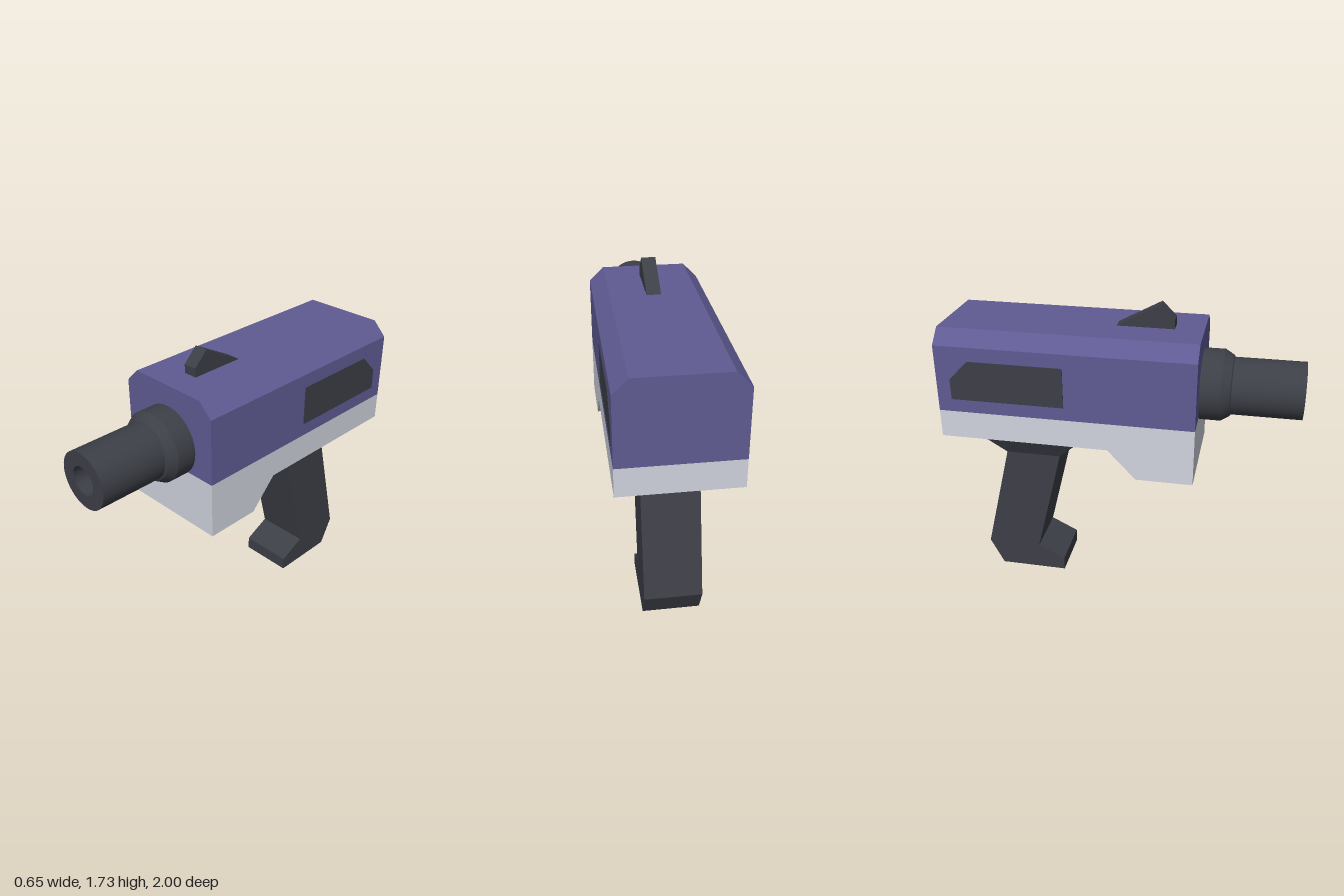
import * as THREE from 'three';
import { toCreasedNormals } from 'three/addons/utils/BufferGeometryUtils.js';

const material = (color) => new THREE.MeshStandardMaterial({ color });

export function createModel() {
  const group = new THREE.Group();
  const purple = material(0x5f5b93);
  const pale = material(0xd0d3de);
  const dark = material(0x3d3f47);

  const add = (name, geometry, mat) => {
    const mesh = new THREE.Mesh(geometry, mat);
    mesh.name = name;
    group.add(mesh);
    return mesh;
  };
  const extrude = (points, depth) => {
    const shape = new THREE.Shape(points.map(([a, b]) => new THREE.Vector2(a, b)));
    return new THREE.ExtrudeGeometry(shape, { depth, bevelEnabled: false });
  };
  // Side profile given as [z, y], extruded across x and centred
  const sideExtrude = (points, width) =>
    extrude(points, width).translate(0, 0, -width / 2).rotateY(-Math.PI / 2);

  // Upper housing with chamfered top edges
  add('upperBody', extrude([
    [-0.32, 1.135], [0.32, 1.135], [0.32, 1.52], [0.24, 1.6], [-0.24, 1.6], [-0.32, 1.52],
  ], 1.44).translate(0, 0, -1), purple);

  // Lower housing, deeper at the front
  add('lowerBody', sideExtrude([
    [0.44, 1.135], [0.44, 0.805], [0.12, 0.805], [-0.04, 0.975], [-1, 0.975], [-1, 1.135],
  ], 0.64), pale);

  // Flush panels on both sides
  for (const [name, side] of [['leftPanel', 1], ['rightPanel', -1]]) {
    add(name, sideExtrude([
      [-0.28, 1.44], [-0.81, 1.44], [-0.92, 1.33], [-0.92, 1.21], [-0.28, 1.21],
    ], 0.01), dark).position.x = side * 0.318;
  }

  // Sight on top
  add('sight', sideExtrude([
    [0.28, 1.6], [0.28, 1.65], [0.2, 1.73], [-0.04, 1.6],
  ], 0.08), dark);

  // Collar, barrel and hollow bore in one turned profile
  const barrelProfile = [
    [0.2, 0.43], [0.2, 0.555], [0.17, 0.605], [0.16, 0.61],
    [0.16, 1], [0.08, 1], [0.08, 0.8], [0, 0.8],
  ].map(([r, z]) => new THREE.Vector2(r, z));
  const barrel = new THREE.LatheGeometry(barrelProfile, 48).rotateX(Math.PI / 2);
  add('barrel', toCreasedNormals(barrel, 0.4), dark).position.y = 1.28;

  // Tapered mount between body and grip
  const mount = new THREE.BoxGeometry(0.48, 0.16, 0.64);
  const p = mount.attributes.position;
  for (let i = 0; i < p.count; i++) {
    if (p.getY(i) < 0) p.setXYZ(i, p.getX(i) * 2 / 3, p.getY(i), p.getZ(i) * 0.5);
  }
  mount.computeVertexNormals();
  add('gripMount', mount, dark).position.set(0, 0.895, -0.52);

  // Slanted grip with a forward toe
  add('grip', sideExtrude([
    [-0.36, 0.815], [-0.68, 0.815], [-0.84, 0.16], [-0.76, 0],
    [-0.36, 0], [-0.36, 0.08], [-0.52, 0.16],
  ], 0.32), dark);

  return group;
}
